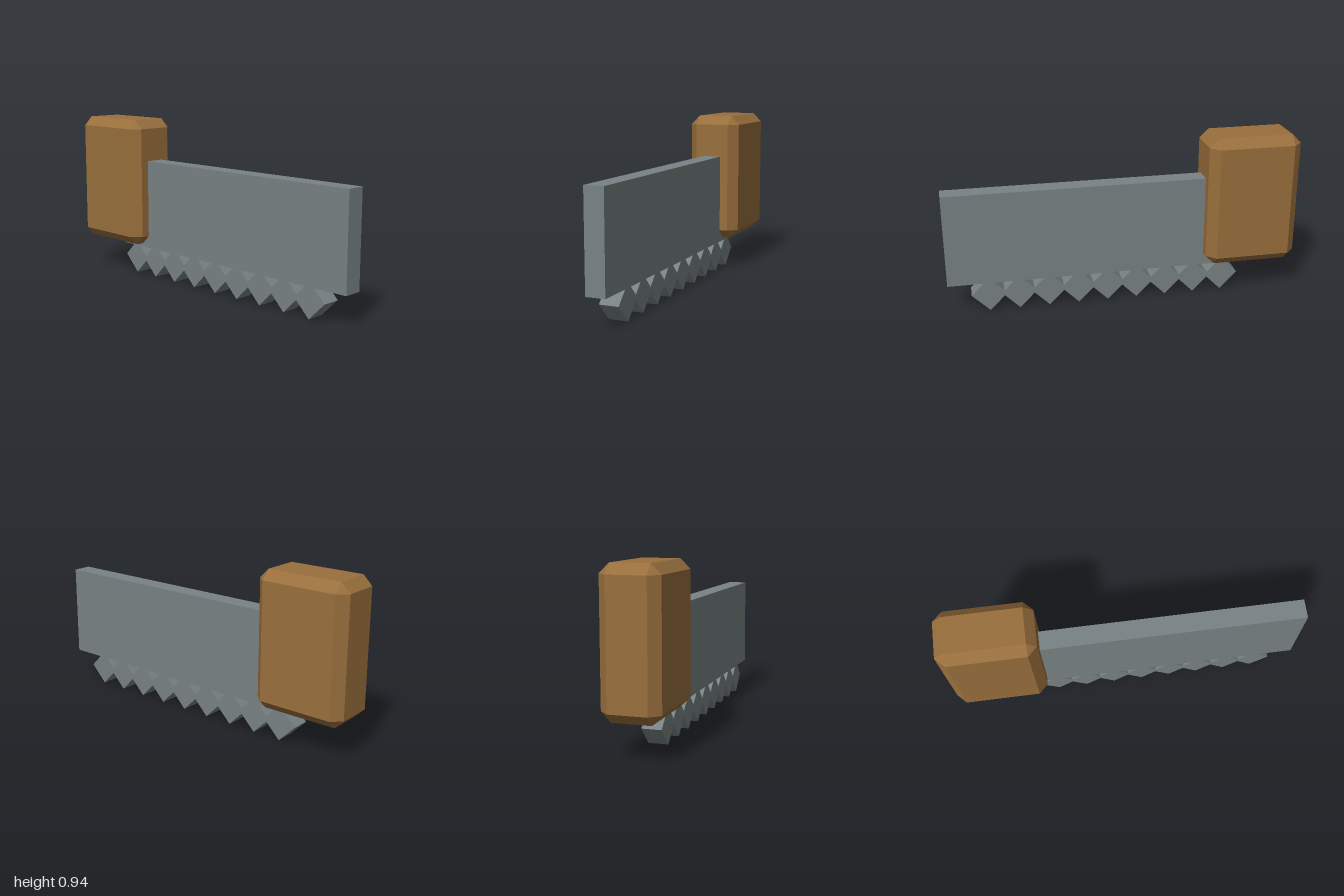
import * as THREE from 'three';
import { ConvexGeometry } from 'three/addons/geometries/ConvexGeometry.js';

// Box with every edge cut at 45 degrees and triangular corners
function chamferedBox(w, h, d, c) {
  const points = [];
  for (const sx of [-1, 1]) for (const sy of [-1, 1]) for (const sz of [-1, 1]) {
    const x = w / 2, y = h / 2, z = d / 2;
    points.push(
      new THREE.Vector3(sx * x, sy * (y - c), sz * (z - c)),
      new THREE.Vector3(sx * (x - c), sy * y, sz * (z - c)),
      new THREE.Vector3(sx * (x - c), sy * (y - c), sz * z)
    );
  }
  return new ConvexGeometry(points);
}

export function createModel() {
  const model = new THREE.Group();
  model.name = 'handSaw';

  const wood = new THREE.MeshStandardMaterial({ color: 0x996f3c });
  wood.name = 'wood';
  const steel = new THREE.MeshStandardMaterial({ color: 0x788284 });
  steel.name = 'steel';

  const add = (name, geometry, material, x, y, parent = model) => {
    const mesh = new THREE.Mesh(geometry, material);
    mesh.name = name;
    mesh.position.set(x, y, 0);
    parent.add(mesh);
    return mesh;
  };

  // Wooden grip
  add('handle', chamferedBox(0.53, 0.754, 0.308, 0.052), wood, -0.735, 0.568);

  // Blade, running into the grip
  const thickness = 0.108;
  add('blade', new THREE.BoxGeometry(1.69, 0.53, thickness), steel, 0.155, 0.435);

  // Row of square teeth standing on their corners
  const teeth = new THREE.Group();
  teeth.name = 'teeth';
  model.add(teeth);
  const radius = 0.1;
  const side = radius * Math.SQRT2;
  const toothGeometry = new THREE.BoxGeometry(side, side, thickness);
  for (let i = 0; i < 9; i++) {
    add('tooth', toothGeometry, steel, -0.58 + i * 0.1688, radius, teeth).rotation.z = Math.PI / 4;
  }

  return model;
}
